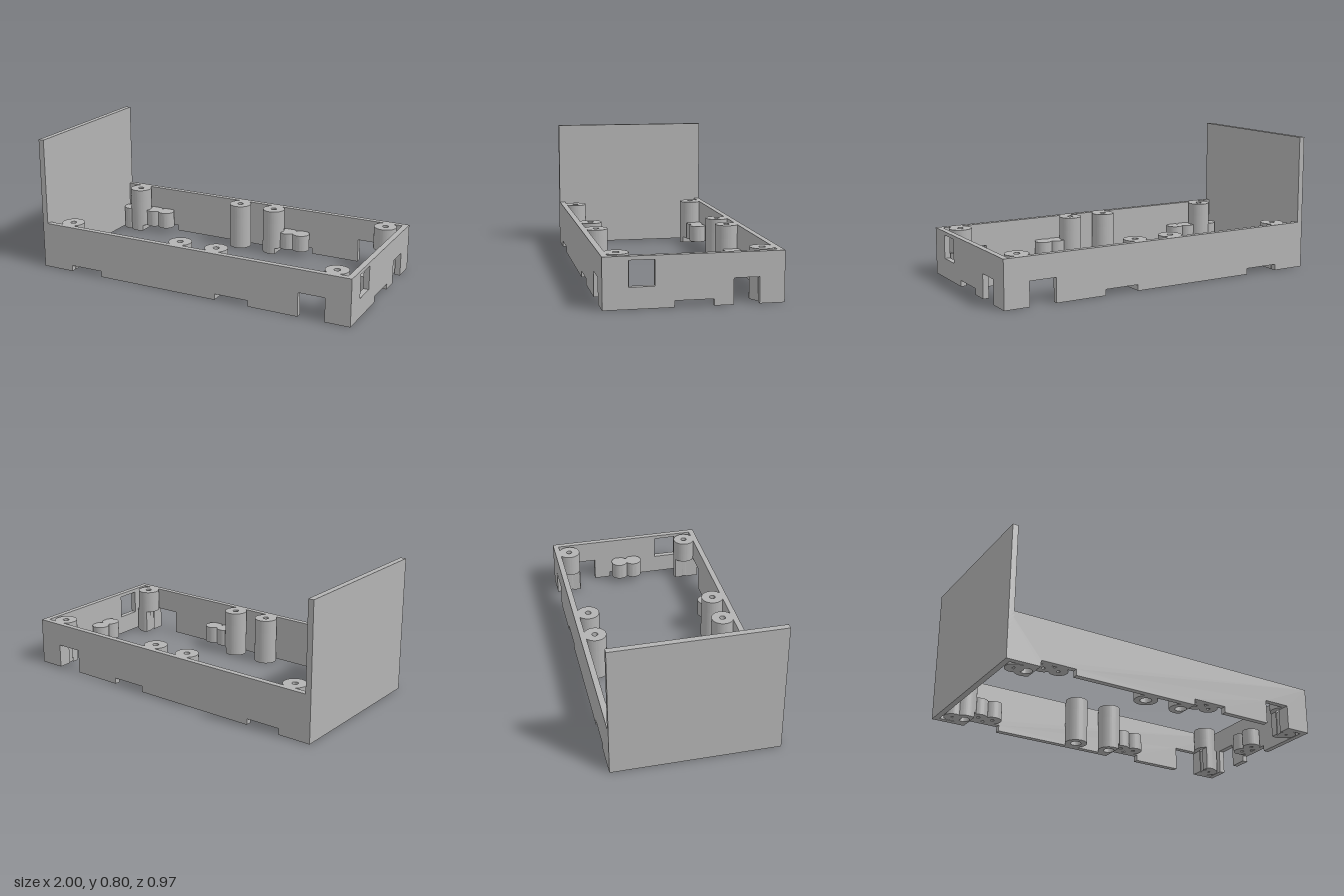
import * as THREE from 'three';
import { toCreasedNormals } from 'three/addons/utils/BufferGeometryUtils.js';

const HALF_Z = 0.487, WALL = 0.034, TOP = 0.28;
const POST_R = 0.068, BORE_R = 0.033, SCREW_R = 0.018, PEG_R = 0.053;
const LOW = 0.036, TALL = 0.143, PEG_TOP = 0.14, BORE_TOP = 0.2;

export function createModel() {
  const model = new THREE.Group();
  model.name = 'enclosureFrame';
  const grey = new THREE.MeshStandardMaterial({ color: 0xb3b3b3 });
  grey.name = 'grey plastic';

  const add = (parent, name, geometry) => {
    const mesh = new THREE.Mesh(geometry, grey);
    mesh.name = name;
    parent.add(mesh);
    return mesh;
  };

  // Upright wall outline with notches [from, to, height] along its bottom edge
  const wallShape = (from, to, notches) => {
    const s = new THREE.Shape();
    s.moveTo(from, 0);
    for (const [a, b, h] of notches) {
      s.lineTo(a, 0);
      s.lineTo(a, h);
      s.lineTo(b, h);
      s.lineTo(b, 0);
    }
    s.lineTo(to, 0);
    s.lineTo(to, TOP);
    s.lineTo(from, TOP);
    s.closePath();
    return s;
  };
  const plate = (shape) => new THREE.ExtrudeGeometry(shape, { depth: WALL, bevelEnabled: false });

  // Front and back walls
  const longWall = wallShape(-1, 1, [[-0.8, -0.59, LOW], [0.175, 0.385, LOW], [0.69, 0.85, TALL]]);
  add(model, 'frontWall', plate(longWall)).position.z = HALF_Z - WALL;
  add(model, 'backWall', plate(longWall)).position.z = -HALF_Z;

  // Notched side wall with a window; its outline runs along -z
  const side = wallShape(-HALF_Z, HALF_Z, [[-0.107, 0.105, LOW], [0.21, 0.35, TALL]]);
  const win = new THREE.Path();
  win.moveTo(-0.35, 0.117);
  win.lineTo(-0.21, 0.117);
  win.lineTo(-0.21, 0.258);
  win.lineTo(-0.35, 0.258);
  win.closePath();
  side.holes.push(win);
  const sideWall = add(model, 'sideWall', plate(side));
  sideWall.rotation.y = Math.PI / 2;
  sideWall.position.x = 1 - WALL;

  // Tall end panel
  add(model, 'endPanel', new THREE.BoxGeometry(WALL, 0.803, 2 * HALF_Z))
    .position.set(-1 + WALL / 2, 0.803 / 2, 0);

  // Vertical tube from y0 to y1, optionally sliced flat at local x = cut
  const tube = (R, r, y0, y1, cut = null) => {
    const s = new THREE.Shape();
    const a = cut === null ? 0 : Math.acos(cut / R);
    s.absarc(0, 0, R, a, 2 * Math.PI - a, false);
    if (cut !== null && cut < r) {
      // The slice opens the bore into a slot
      const b = Math.acos(cut / r);
      s.absarc(0, 0, r, 2 * Math.PI - b, b, true);
    } else {
      const hole = new THREE.Path();
      hole.absarc(0, 0, r, 0, 2 * Math.PI, true);
      s.holes.push(hole);
    }
    s.closePath();
    const g = new THREE.ExtrudeGeometry(s, { depth: y1 - y0, bevelEnabled: false, curveSegments: 40 });
    g.rotateX(-Math.PI / 2);
    g.translate(0, y0, 0);
    return toCreasedNormals(g, 0.6);
  };

  // Screw posts: [x, sliced height, slice offset, slice direction]
  const posts = [[-0.84, LOW, 0.04, 1], [-0.095, 0, null, 1], [0.14, LOW, 0.035, 1], [0.88, TALL, 0.03, -1]];
  for (const [x, h, cut, dir] of posts) {
    for (const z of [-0.395, 0.395]) {
      const post = new THREE.Group();
      post.name = 'screwPost';
      post.position.set(x, 0, z);
      if (dir < 0) post.rotation.y = Math.PI;
      add(post, 'postTop', tube(POST_R, SCREW_R, BORE_TOP, TOP));
      add(post, 'postBody', tube(POST_R, BORE_R, h, BORE_TOP));
      if (h > 0) add(post, 'postFoot', tube(POST_R, BORE_R, 0, h, cut));
      model.add(post);
    }
  }

  // Short pegs with blind pilot holes underneath
  const pegs = [[0.917, -0.047, LOW], [0.917, 0.047, LOW]];
  for (const s of [-1, 1]) {
    for (const x of [-0.91, 0.91]) pegs.push([x, s * 0.396, 0]);
    for (const x of [-0.745, -0.655, 0.235, 0.325]) pegs.push([x, s * 0.406, LOW]);
  }
  for (const [x, z, y0] of pegs) {
    const peg = new THREE.Group();
    peg.name = 'peg';
    peg.position.set(x, 0, z);
    add(peg, 'pegBody', tube(PEG_R, 0.011, y0, 0.12));
    add(peg, 'pegCap', new THREE.CylinderGeometry(PEG_R, PEG_R, PEG_TOP - 0.12, 80))
      .position.y = (PEG_TOP + 0.12) / 2;
    model.add(peg);
  }

  return model;
}
